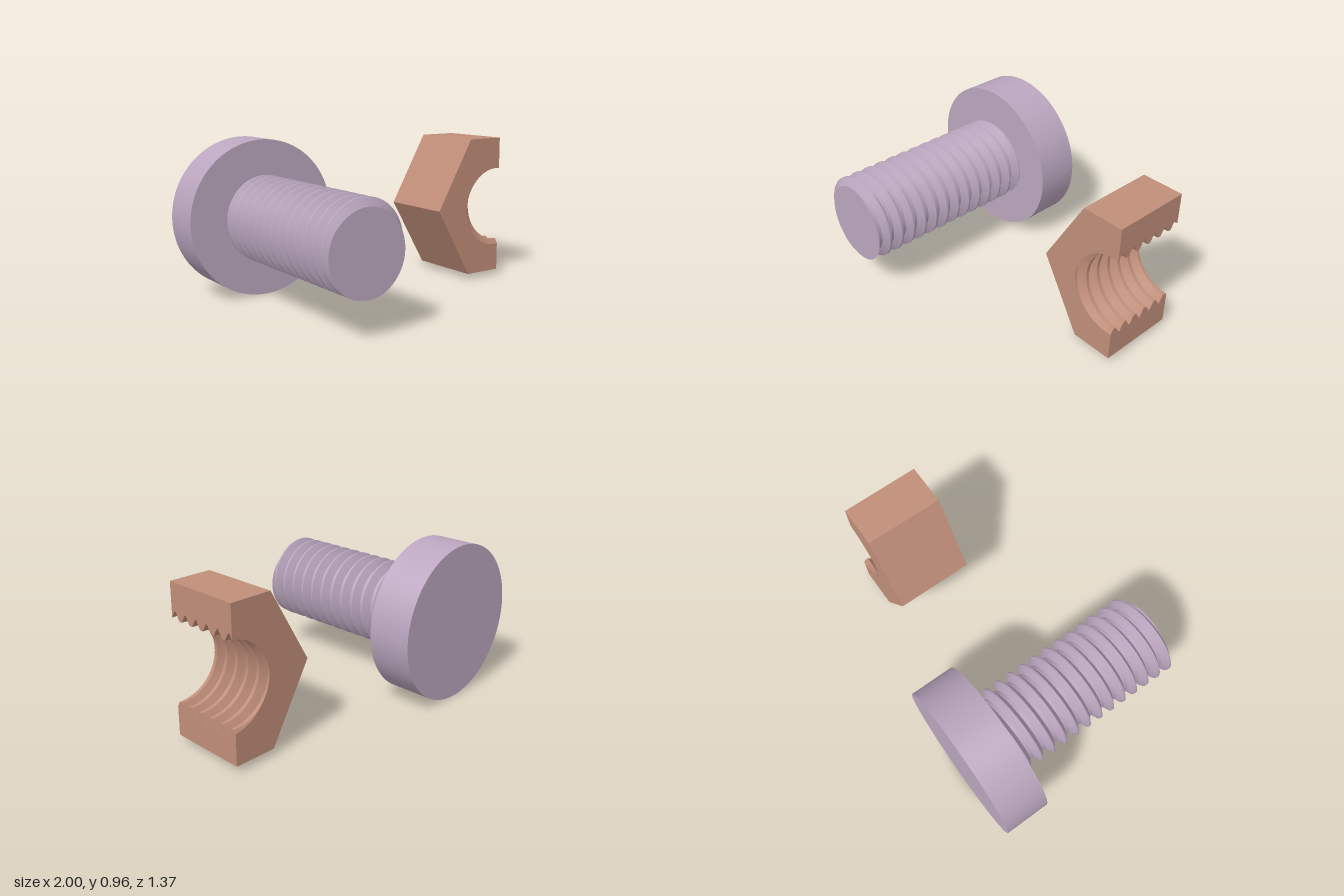
import * as THREE from 'three';
import { toCreasedNormals } from 'three/addons/utils/BufferGeometryUtils.js';

const PITCH = 0.0864;
const CREST_Z = 0.6225;          // height of one crest along z at angle 0
const DEPTH = 0.047;
const AXIS_Y = 0.482;
const BACK = -0.415;             // bearing face of head, back of nut

// Truncated 60 degree right-hand thread: radius at an angle and height
function threadRadius(root, angle, z) {
  const t = (z - CREST_Z) / PITCH - angle / (2 * Math.PI);
  const u = Math.abs(t - Math.round(t));
  return root + DEPTH * THREE.MathUtils.clamp((0.375 - u) / 0.3125, 0, 1);
}

const polar = (r, a, z) => new THREE.Vector3(r * Math.cos(a), r * Math.sin(a), z);

// One lengthwise line of the thread, its corners following the helix
function threadLine(root, angle, z0, z1) {
  const heights = [z0];
  const kMin = Math.floor((z0 - CREST_Z) / PITCH) - 2;
  const kMax = Math.ceil((z1 - CREST_Z) / PITCH) + 1;
  for (let k = kMin; k <= kMax; k++) {
    for (const f of [-0.375, -0.0625, 0.0625, 0.375]) {
      const z = CREST_Z + PITCH * (k + f + angle / (2 * Math.PI));
      heights.push(THREE.MathUtils.clamp(z, z0, z1));
    }
  }
  heights.push(z1);
  return heights.map(z => polar(threadRadius(root, angle, z), angle, z));
}

// Skin rows of points, leaving out triangles with no area
function skin(rows, flip, out) {
  const area = new THREE.Triangle();
  const tri = (a, b, c) => {
    if (area.set(a, b, c).getArea() < 1e-8) return;
    for (const p of flip ? [a, c, b] : [a, b, c]) out.push(p.x, p.y, p.z);
  };
  for (let i = 0; i + 1 < rows.length; i++) {
    for (let j = 0; j + 1 < rows[i].length; j++) {
      const a = rows[i][j], b = rows[i + 1][j], c = rows[i + 1][j + 1], d = rows[i][j + 1];
      tri(a, b, c);
      tri(a, c, d);
    }
  }
}

function meshFrom(positions, material, name) {
  const geometry = new THREE.BufferGeometry();
  geometry.setAttribute('position', new THREE.Float32BufferAttribute(positions, 3));
  const mesh = new THREE.Mesh(toCreasedNormals(geometry, 0.5), material);
  mesh.name = name;
  return mesh;
}

function createBolt() {
  const bolt = new THREE.Group();
  bolt.name = 'bolt';
  const material = new THREE.MeshStandardMaterial({ color: 0xbba6bf });

  // Flat round head
  const headGeometry = new THREE.CylinderGeometry(0.482, 0.482, 0.273, 96);
  headGeometry.rotateX(Math.PI / 2);
  const head = new THREE.Mesh(headGeometry, material);
  head.name = 'boltHead';
  head.position.z = BACK - 0.1365;

  // Threaded shank with its flat end
  const rows = [];
  for (let i = 0; i <= 96; i++) {
    const a = (i / 96) * Math.PI * 2;
    rows.push([...threadLine(0.22, a, BACK, 0.686), new THREE.Vector3(0, 0, 0.686)]);
  }
  const positions = [];
  skin(rows, false, positions);
  bolt.add(head, meshFrom(positions, material, 'threadedShank'));
  bolt.position.set(-0.518, AXIS_Y, 0);
  return bolt;
}

function createHalfNut() {
  const front = 0.068, steps = 60;
  const hexRadius = a => {
    const deg = THREE.MathUtils.radToDeg(a) + 1e-6;
    return 0.448 / Math.cos(THREE.MathUtils.degToRad((deg % 60) - 30));
  };

  // Closed section at each angle: threaded bore, front, hexagon side, back
  const rows = [], positions = [];
  for (let i = 0; i <= steps; i++) {
    const a = Math.PI / 2 + (i / steps) * Math.PI;
    const bore = threadLine(0.239, a, BACK, front);
    const outerBack = polar(hexRadius(a), a, BACK);
    const outerFront = polar(hexRadius(a), a, front);
    rows.push([outerBack, ...bore, outerFront, outerBack]);

    // Flat cut faces at both ends of the half turn
    if (i === 0 || i === steps) {
      const edge = bore.map(p => polar(hexRadius(a), a, p.z));
      skin([bore, edge], i === steps, positions);
    }
  }
  skin(rows, true, positions);
  const nut = meshFrom(positions, new THREE.MeshStandardMaterial({ color: 0xc08e79 }), 'halfNut');
  nut.position.set(1, AXIS_Y + 0.003, 0);
  return nut;
}

export function createModel() {
  const model = new THREE.Group();
  model.name = 'boltAndHalfNut';
  model.add(createBolt(), createHalfNut());
  return model;
}
